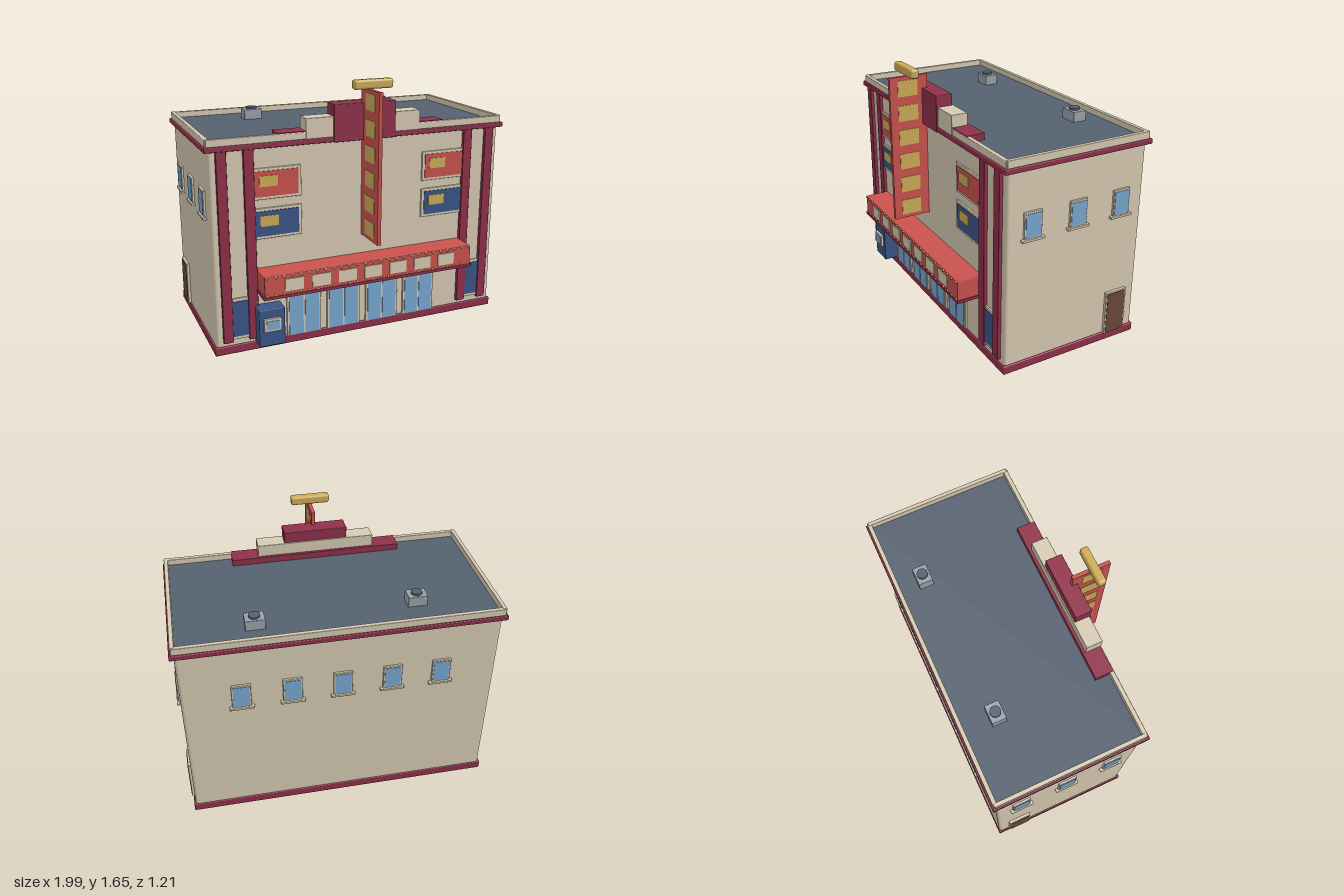
import * as THREE from 'three';
import { RoundedBoxGeometry } from 'three/addons/geometries/RoundedBoxGeometry.js';

const material = (name, color) => {
  const m = new THREE.MeshStandardMaterial({ color });
  m.name = name;
  return m;
};

export function createModel() {
  const root = new THREE.Group();
  root.name = 'cinemaBuilding';
  const cream = material('cream', 0xd6cab2);
  const maroon = material('maroon', 0x90304a);
  const red = material('red', 0xca524e);
  const navy = material('navy', 0x3b5587);
  const glass = material('glass', 0x78a8d0);
  const gold = material('gold', 0xcdab58);
  const brown = material('brown', 0x6a4a3a);
  const slate = material('slate', 0x556170);
  const grey = material('grey', 0x9aa1ab);

  // Box given by its min and max corners; r > 0 rounds the edges
  const box = (parent, name, mat, [x0, y0, z0], [x1, y1, z1], r = 0) => {
    const w = x1 - x0, h = y1 - y0, d = z1 - z0;
    const geo = r ? new RoundedBoxGeometry(w, h, d, 3, r) : new THREE.BoxGeometry(w, h, d);
    const mesh = new THREE.Mesh(geo, mat);
    mesh.name = name;
    mesh.position.set((x0 + x1) / 2, (y0 + y1) / 2, (z0 + z1) / 2);
    parent.add(mesh);
    return mesh;
  };
  const group = (name, parent = root) => {
    const g = new THREE.Group();
    g.name = name;
    parent.add(g);
    return g;
  };

  // Main block, base and cornice
  box(root, 'walls', cream, [-0.97, 0.01, -0.578], [0.97, 1.295, 0.368], 0.02);
  box(root, 'plinth', maroon, [-0.98, 0, -0.585], [0.98, 0.055, 0.377], 0.006);
  box(root, 'cornice', maroon, [-0.995, 1.275, -0.602], [0.995, 1.307, 0.394], 0.005);
  box(root, 'roof', slate, [-0.965, 1.3, -0.575], [0.965, 1.313, 0.365]);

  // Parapet around the roof
  const parapet = group('parapet');
  box(parapet, 'parapetFront', cream, [-0.98, 1.305, 0.354], [0.98, 1.35, 0.382], 0.004);
  box(parapet, 'parapetBack', cream, [-0.98, 1.305, -0.592], [0.98, 1.35, -0.565], 0.004);
  for (const s of [-1, 1]) {
    const x = s * 0.972;
    box(parapet, 'parapetSide', cream, [x - 0.013, 1.305, -0.585], [x + 0.013, 1.352, 0.375], 0.004);
  }

  // Stepped crest over the front
  const crest = group('crest');
  box(crest, 'lowerStep', maroon, [-0.55, 1.29, 0.262], [0.55, 1.354, 0.38]);
  box(crest, 'middleStep', cream, [-0.38, 1.29, 0.28], [0.38, 1.43, 0.386], 0.004);
  box(crest, 'upperStep', maroon, [-0.205, 1.272, 0.288], [0.205, 1.502, 0.397], 0.004);

  // Pilasters, with framed panels between each pair
  for (const s of [-1, 1]) {
    for (const c of [0.735, 0.897]) {
      box(root, 'pilaster', maroon, [s * c - 0.031, 0.08, 0.35], [s * c + 0.031, 1.285, 0.39], 0.004);
    }
    const x = s * 0.816;
    box(root, 'lowPosterFrame', cream, [x - 0.07, 0.095, 0.36], [x + 0.07, 0.362, 0.378]);
    box(root, 'lowPoster', navy, [x - 0.055, 0.113, 0.375], [x + 0.055, 0.343, 0.382]);
  }

  // Large wall posters
  for (const s of [-1, 1]) {
    for (const [y, mat] of [[1.059, red], [0.814, navy]]) {
      const g = group('wallPoster');
      g.position.set(s * 0.567, y, 0);
      box(g, 'posterFrame', cream, [-0.157, -0.096, 0.36], [0.157, 0.096, 0.378], 0.004);
      box(g, 'posterPanel', mat, [-0.137, -0.078, 0.375], [0.137, 0.078, 0.382]);
      box(g, 'posterPatch', gold, [-0.107, -0.016, 0.378], [0.007, 0.05, 0.386]);
    }
  }

  // Vertical blade sign with gold panels and a bar on top
  const blade = group('bladeSign');
  box(blade, 'blade', red, [-0.012, 0.66, 0.36], [0.012, 1.59, 0.608]);
  for (let i = 0; i < 6; i++) {
    const y = 0.734 + i * 0.1565;
    for (const s of [-1, 1]) {
      box(blade, 'bladePanel', gold, [s * 0.012 - 0.003, y - 0.05, 0.427], [s * 0.012 + 0.003, y + 0.05, 0.557]);
    }
  }
  box(blade, 'topBar', gold, [-0.126, 1.598, 0.463], [0.126, 1.655, 0.518], 0.015);

  // Canopy with sign plates and bulbs
  const canopy = group('canopy');
  box(canopy, 'canopyBody', red, [-0.705, 0.4, 0.36], [0.705, 0.533, 0.53], 0.005);
  box(canopy, 'canopyLip', maroon, [-0.712, 0.388, 0.36], [0.712, 0.406, 0.535]);
  for (let i = -3; i <= 3; i++) {
    const x = i * 0.173;
    box(canopy, 'signPlate', cream, [x - 0.059, 0.428, 0.528], [x + 0.059, 0.506, 0.536]);
  }
  const bulbGeo = new THREE.SphereGeometry(0.008, 10, 8);
  for (let i = 0; i < 27; i++) {
    for (const y of [0.414, 0.526]) {
      const bulb = new THREE.Mesh(bulbGeo, gold);
      bulb.name = 'bulb';
      bulb.position.set(-0.69 + i * 1.38 / 26, y, 0.533);
      canopy.add(bulb);
    }
  }

  // Glazed double doors
  for (const x of [-0.405, -0.135, 0.135, 0.405]) {
    const g = group('entranceDoor');
    g.position.x = x;
    box(g, 'entranceFrame', cream, [-0.114, 0.05, 0.36], [0.114, 0.364, 0.38], 0.004);
    for (const s of [-1, 1]) {
      box(g, 'entranceGlass', glass, [s * 0.053 - 0.047, 0.056, 0.376], [s * 0.053 + 0.047, 0.35, 0.384]);
    }
  }

  // Ticket booth
  const booth = group('ticketBooth');
  box(booth, 'boothBody', navy, [-0.725, 0.052, 0.36], [-0.56, 0.296, 0.465], 0.006);
  box(booth, 'boothWindowFrame', cream, [-0.697, 0.154, 0.46], [-0.587, 0.238, 0.48]);
  box(booth, 'boothGlass', glass, [-0.684, 0.167, 0.477], [-0.6, 0.223, 0.484]);

  // Windows face local +z and are turned onto each wall
  const addWindow = (x, z, turn) => {
    const g = group('window');
    g.position.set(x, 0.943, z);
    g.rotation.y = turn;
    box(g, 'windowFrame', cream, [-0.059, -0.083, -0.01], [0.059, 0.082, 0.013], 0.004);
    box(g, 'windowGlass', glass, [-0.05, -0.073, 0.009], [0.05, 0.07, 0.016]);
    box(g, 'windowSill', cream, [-0.075, -0.097, -0.01], [0.075, -0.082, 0.024], 0.003);
  };
  for (let i = -2; i <= 2; i++) addWindow(i * 0.307, -0.578, Math.PI);
  for (const s of [-1, 1]) {
    for (const z of [0.2, -0.107, -0.415]) addWindow(s * 0.97, z, s * Math.PI / 2);

    // Side door
    const door = group('sideDoor');
    door.position.set(s * 0.97, 0, -0.427);
    door.rotation.y = s * Math.PI / 2;
    box(door, 'doorFrame', cream, [-0.077, 0.05, -0.01], [0.077, 0.34, 0.018], 0.004);
    box(door, 'doorLeaf', brown, [-0.066, 0.056, 0.014], [0.066, 0.33, 0.021]);
  }

  // Rooftop vents
  for (const [x, z] of [[-0.492, -0.36], [0.492, -0.408]]) {
    const vent = group('roofVent');
    vent.position.set(x, 1.31, z);
    box(vent, 'ventBox', grey, [-0.06, 0, -0.046], [0.06, 0.068, 0.046], 0.004);
    const fan = new THREE.Mesh(new THREE.CylinderGeometry(0.034, 0.034, 0.016, 20), slate);
    fan.name = 'ventFan';
    fan.position.y = 0.073;
    vent.add(fan);
  }
  return root;
}
